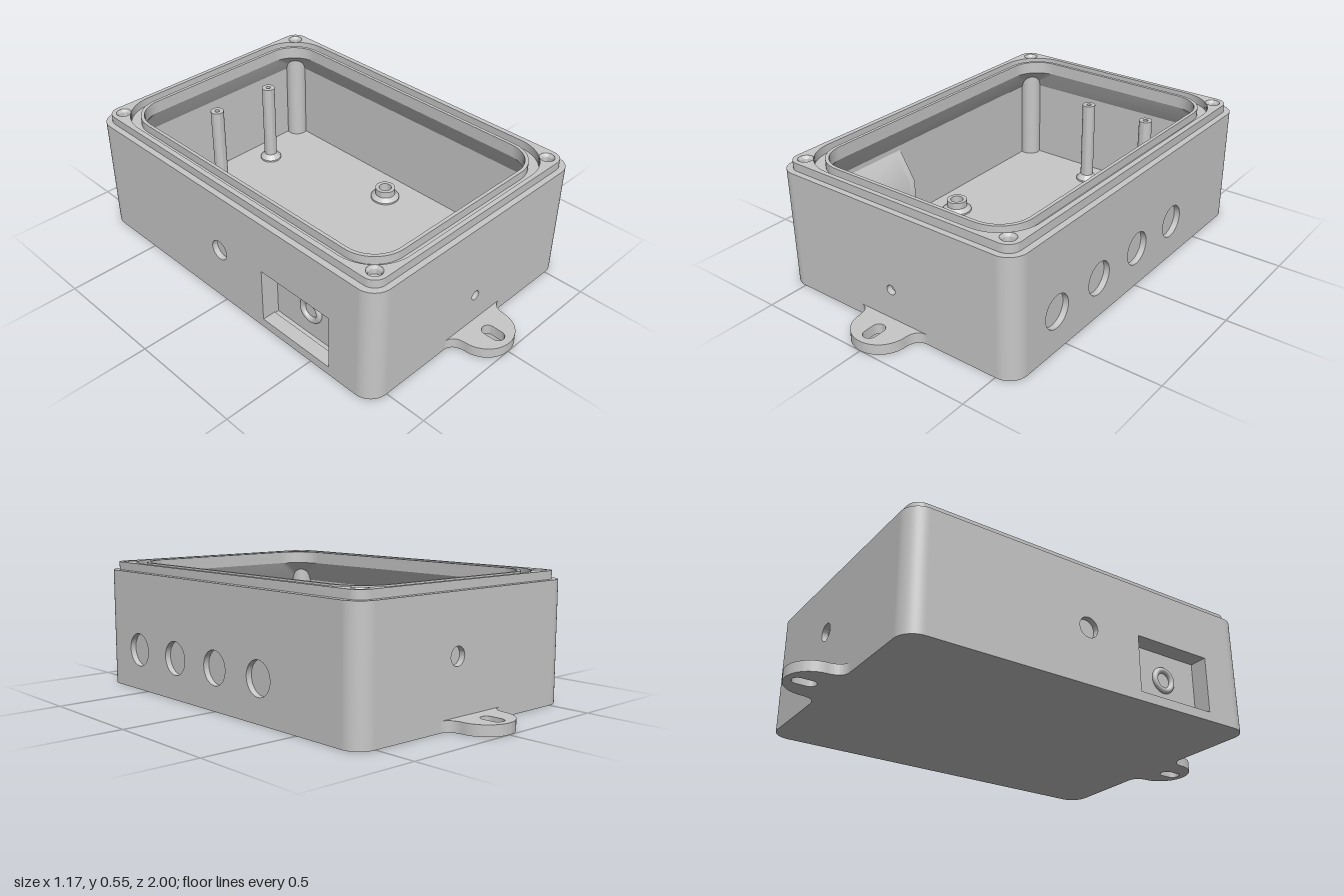
import * as THREE from 'three';
import { toCreasedNormals } from 'three/addons/utils/BufferGeometryUtils.js';

const HX = 0.585, HZ = 0.82, WALL = 0.06, CORNER = 0.08; // outer half sizes
const SIDE_H = 0.515, TOP = 0.55, FLOOR = 0.035;
const SCREW = [0.505, 0.743];

const plastic = new THREE.MeshStandardMaterial({ color: 0xc8c8c8, side: THREE.DoubleSide });
plastic.name = 'light grey plastic';

function add(parent, name, geometry, x = 0, y = 0, z = 0) {
  const mesh = new THREE.Mesh(geometry, plastic);
  mesh.name = name;
  mesh.position.set(x, y, z);
  parent.add(mesh);
  return mesh;
}

// rounded rectangle outline, as a list of points
function roundRect(hx, hz, r, n = 12) {
  const pts = [];
  [[1, 1], [-1, 1], [-1, -1], [1, -1]].forEach(([sx, sz], q) => {
    for (let i = 0; i <= n; i++) {
      const a = (q + i / n) * Math.PI / 2;
      pts.push(new THREE.Vector2(sx * (hx - r) + r * Math.cos(a), sz * (hz - r) + r * Math.sin(a)));
    }
  });
  return pts;
}

const circle = (x, y, r) => new THREE.Path().absarc(x, y, r, 0, Math.PI * 2);
const points = (list) => list.map(p => new THREE.Vector2(...p));
const rect = (x0, y0, x1, y1) => points([[x0, y0], [x1, y0], [x1, y1], [x0, y1]]);

function extrude(shape, depth) {
  const g = new THREE.ExtrudeGeometry(shape, { depth, bevelEnabled: false, curveSegments: 20 });
  return toCreasedNormals(g, 0.6);
}

// outline lying flat, extruded upward
const slab = (shape, depth) => extrude(shape, depth).rotateX(-Math.PI / 2);

// wall built from layers, outermost first: [thickness, holes]
function wall(parent, name, half, dist, angle, layers) {
  const g = new THREE.Group();
  g.name = name;
  g.rotation.y = angle;
  let z = dist;
  for (const [t, holes] of layers) {
    const shape = new THREE.Shape(rect(-half, 0, half, SIDE_H));
    shape.holes.push(...holes);
    z -= t;
    add(g, name + 'Layer', extrude(shape, t), 0, 0, z);
  }
  parent.add(g);
}

// sloping surface between two outlines at different heights
function loft(a, ya, b, yb) {
  const pos = [], idx = [], n = a.length;
  for (let i = 0; i < n; i++) pos.push(a[i].x, ya, a[i].y, b[i].x, yb, b[i].y);
  for (let i = 0; i < n; i++) {
    const p = 2 * i, q = 2 * ((i + 1) % n);
    idx.push(p, p + 1, q, q, p + 1, q + 1);
  }
  const g = new THREE.BufferGeometry();
  g.setAttribute('position', new THREE.Float32BufferAttribute(pos, 3));
  g.setIndex(idx);
  return toCreasedNormals(g, 0.6);
}

const lathe = (pts) => toCreasedNormals(new THREE.LatheGeometry(points(pts), 32), 0.6);

export function createModel() {
  const model = new THREE.Group();
  model.name = 'enclosureBase';

  add(model, 'floor', slab(new THREE.Shape(roundRect(HX - 0.005, HZ - 0.005, CORNER - 0.005)), FLOOR));

  // walls with shallow knockouts, and a connector pocket on the -x side
  const rest = WALL - 0.025;
  const sideHalf = HZ - CORNER, endHalf = HX - CORNER;
  const knockouts = [-0.56, -0.28, 0, 0.28].map(u => circle(u, 0.177, 0.072));
  const pocket = () => new THREE.Path(rect(0.23, 0.04, 0.6, 0.285));
  wall(model, 'frontWall', endHalf, HZ, 0, [[0.025, [circle(0, 0.175, 0.021)]], [rest, []]]);
  wall(model, 'backWall', endHalf, HZ, Math.PI, [[0.025, [circle(-0.08, 0.274, 0.038)]], [rest, []]]);
  wall(model, 'leftWall', sideHalf, HX, Math.PI / 2, [[0.025, knockouts], [rest, []]]);
  wall(model, 'rightWall', sideHalf, HX, -Math.PI / 2,
    [[0.025, [circle(-0.025, 0.245, 0.044), pocket()]], [rest, [pocket()]]]);

  // sloping-topped block behind the pocket: two ends and a hollowed middle
  const slope = [[-0.445, 0.03], [-0.445, 0.25], [-0.526, 0.38]];
  const end = extrude(new THREE.Shape(points([[-0.526, 0.03], ...slope])), 0.03);
  add(model, 'pocketBlockEnd', end, 0, 0, 0.2);
  add(model, 'pocketBlockEnd', end, 0, 0, 0.6);
  const middle = new THREE.Shape(points([[-0.505, 0.03], ...slope, [-0.526, 0.285], [-0.505, 0.285]]));
  add(model, 'pocketBlock', extrude(middle, 0.37), 0, 0, 0.23);
  const ring = add(model, 'connectorRing', new THREE.TorusGeometry(0.045, 0.013, 12, 32), -0.507, 0.165, 0.425);
  ring.rotation.y = Math.PI / 2;

  // rounded corners, the screw columns inside them and their countersunk holes
  [[1, 1, 0], [1, -1, 1], [-1, -1, 2], [-1, 1, 3]].forEach(([sx, sz, q]) => {
    add(model, 'corner',
      new THREE.CylinderGeometry(CORNER, CORNER, SIDE_H, 16, 1, false, q * Math.PI / 2, Math.PI / 2),
      sx * endHalf, SIDE_H / 2, sz * sideHalf);
    add(model, 'screwColumn', new THREE.CylinderGeometry(0.05, 0.05, 0.47, 32),
      sx * SCREW[0], 0.265, sz * SCREW[1]);
    add(model, 'screwHole', lathe([[0.024, 0], [0.024, 0.022], [0.032, 0.034]]),
      sx * SCREW[0], SIDE_H, sz * SCREW[1]);
  });

  // rim: flare under the opening, ledge, raised lips either side of the seal groove
  const opening = () => roundRect(0.48, 0.72, 0.135);
  add(model, 'rimFlare', loft(opening(), 0.495, roundRect(HX - WALL, HZ - WALL, 0.03), 0.4));
  const ledge = new THREE.Shape(roundRect(0.55, 0.785, 0.05));
  ledge.holes.push(new THREE.Path(opening()));
  add(model, 'rimLedge', slab(ledge, SIDE_H - 0.495), 0, 0.495, 0);
  const outerLip = new THREE.Shape(roundRect(0.558, 0.795, 0.055));
  outerLip.holes.push(new THREE.Path(roundRect(0.535, 0.775, 0.18)));
  for (const sx of [1, -1]) for (const sz of [1, -1])
    outerLip.holes.push(circle(sx * SCREW[0], sz * SCREW[1], 0.032));
  add(model, 'outerLip', slab(outerLip, TOP - SIDE_H), 0, SIDE_H, 0);
  const innerLip = new THREE.Shape(roundRect(0.495, 0.735, 0.15));
  innerLip.holes.push(new THREE.Path(opening()));
  add(model, 'innerLip', slab(innerLip, TOP - SIDE_H), 0, SIDE_H, 0);

  // short board standoffs with flared feet
  for (const x of [-0.383, 0.383]) for (const z of [-0.007, 0.615])
    add(model, 'standoff', lathe([[0.066, 0], [0.066, 0.008], [0.046, 0.024], [0.046, 0.055],
      [0.029, 0.055], [0.029, 0.01], [0, 0.01]]), x, FLOOR, z);

  // tall posts near the back wall
  for (const x of [-0.082, 0.23])
    add(model, 'tallPost', lathe([[0.05, 0], [0.05, 0.008], [0.03, 0.03], [0.03, 0.393],
      [0.011, 0.393], [0.011, 0.34], [0, 0.34]]), x, FLOOR, -0.64);

  // mounting ears with slots
  const ear = new THREE.Shape();
  ear.moveTo(0.175, 0.79);
  ear.lineTo(0.175, HZ);
  ear.quadraticCurveTo(0.125, HZ, 0.12, 0.88);
  ear.absarc(0, 0.88, 0.12, 0, Math.PI);
  ear.quadraticCurveTo(-0.125, HZ, -0.175, HZ);
  ear.lineTo(-0.175, 0.79);
  ear.closePath();
  ear.holes.push(new THREE.Path(roundRect(0.028, 0.05, 0.028).map(p => p.add(new THREE.Vector2(0, 0.922)))));
  const earGeometry = slab(ear, 0.045);
  add(model, 'backEar', earGeometry);
  add(model, 'frontEar', earGeometry).rotation.y = Math.PI;

  return model;
}
